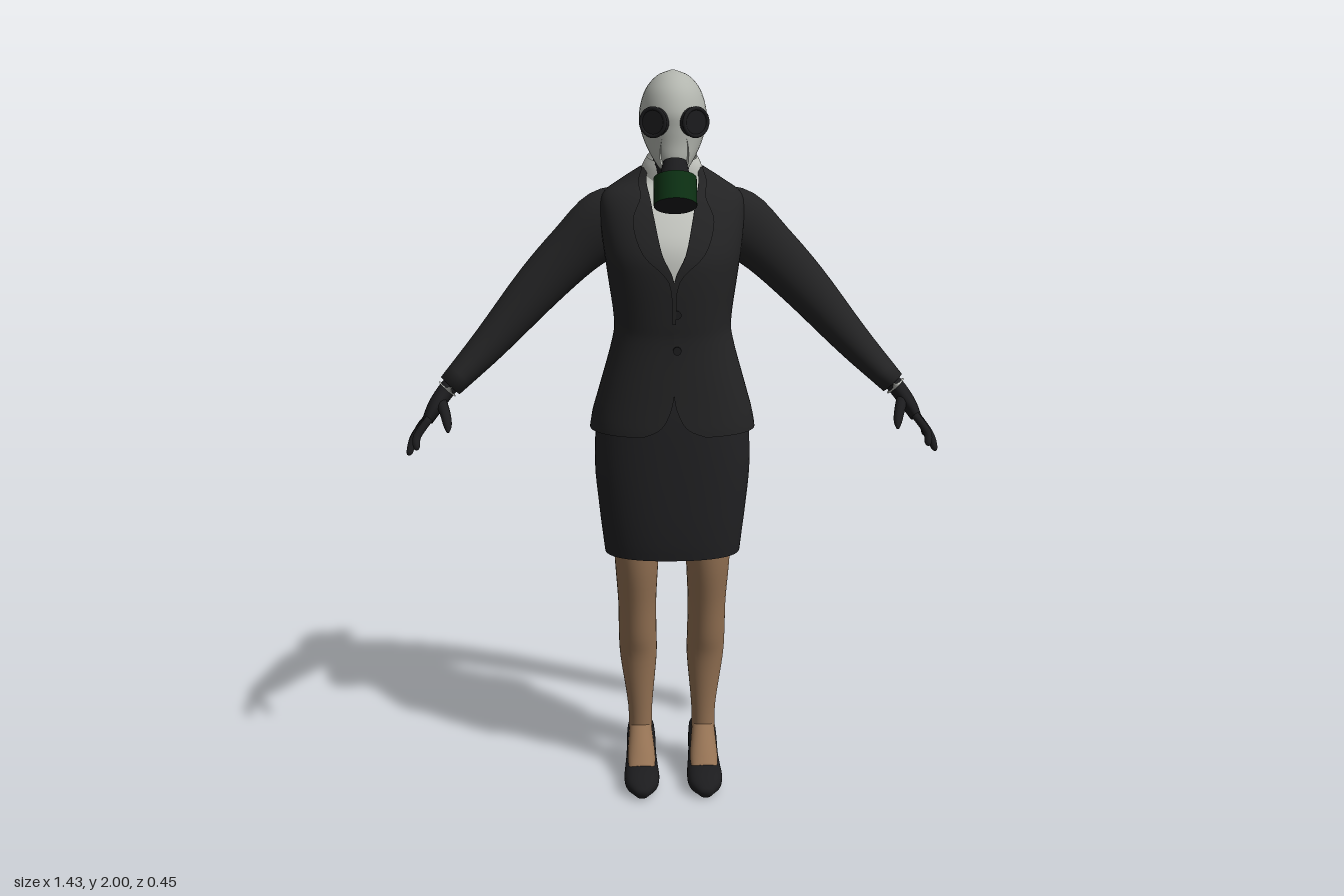
import * as THREE from 'three';

const mat = (name, color, side = THREE.FrontSide) => {
  const m = new THREE.MeshStandardMaterial({ color, side });
  m.name = name;
  return m;
};

// Smooth skin over elliptical sections. Row: [x, y, z, ru, rv, gap, end]
// gap = half-width left open at the start angle; end = where a partial strip stops.
function loft(rows, o = {}) {
  const { n = 28, steps = 4, e = 1, flat = false, ref = [0, 0, 1], start = 0, strip = 0, open = false } = o;
  const curve = (a, b, c) => new THREE.CatmullRomCurve3(
    rows.map(r => new THREE.Vector3(r[a] || 0, r[b] || 0, r[c] || 0)), false, 'catmullrom', 0.5);
  const path = curve(0, 1, 2), radii = curve(3, 4, 5), ends = curve(6, 6, 6);
  const total = (rows.length - 1) * steps;
  const ring = !open && !strip, cols = ring ? n : n + 1;
  const pos = [], idx = [], v = new THREE.Vector3(), u = new THREE.Vector3(), t = new THREE.Vector3();
  const centres = [];
  for (let i = 0; i <= total; i++) {
    const k = i / total, c = path.getPoint(k), r = radii.getPoint(k);
    centres.push(c);
    if (flat) t.set(0, 1, 0);
    else t.subVectors(path.getPoint(Math.min(1, k + 0.02)), path.getPoint(Math.max(0, k - 0.02))).normalize();
    v.set(...ref).addScaledVector(t, -t.dot(v)).normalize();
    u.crossVectors(t, v);
    const ang = x => Math.asin(Math.min(1, Math.pow(Math.max(0, x) / r.x, 1 / e)));
    const g = ang(r.z);
    for (let j = 0; j < cols; j++) {
      const a = strip ? strip * (g + (ang(ends.getPoint(k).x) - g) * j / n)
        : start + g + (2 * Math.PI - 2 * g) * j / n;
      const p = f => Math.sign(f) * Math.pow(Math.abs(f), e);
      const q = c.clone().addScaledVector(u, r.x * p(Math.sin(a))).addScaledVector(v, r.y * p(Math.cos(a)));
      pos.push(q.x, q.y, q.z);
    }
  }
  for (let i = 0; i < total; i++) for (let j = 0; j < n; j++) {
    const a = i * cols + j, b = i * cols + (j + 1) % cols;
    idx.push(a, b, a + cols, b, b + cols, a + cols);
  }
  if (ring) for (const i of [0, total]) { // end caps
    const m = pos.length / 3;
    pos.push(centres[i].x, centres[i].y, centres[i].z);
    for (let j = 0; j < n; j++) {
      const a = i * cols + j, b = i * cols + (j + 1) % cols;
      if (i) idx.push(a, b, m); else idx.push(b, a, m);
    }
  }
  const geo = new THREE.BufferGeometry();
  geo.setAttribute('position', new THREE.Float32BufferAttribute(pos, 3));
  geo.setIndex(idx);
  geo.computeVertexNormals();
  return geo;
}

// Body section: height, half width, front z, back z, opening, strip end
const sec = ([y, rx, zf, zb, gap = 0, end = 0]) => [0, y, (zf + zb) / 2, rx, (zf - zb) / 2, gap, end];

export function createModel() {
  const model = new THREE.Group();
  model.name = 'maskedOfficeWorker';
  const suit = mat('suitCloth', 0x232324, THREE.DoubleSide);
  const skirtCloth = mat('skirtCloth', 0x212123, THREE.DoubleSide);
  const shirtCloth = mat('shirtCloth', 0xc6c8c2, THREE.DoubleSide);
  const rubber = mat('paleRubber', 0xb2b5ae);
  const black = mat('blackLeather', 0x1c1c1e);
  const skin = mat('stockingTan', 0x937153);
  const green = mat('canisterGreen', 0x0c3013);
  const add = (name, geo, m, x = 0, y = 0, z = 0) => {
    const mesh = new THREE.Mesh(geo, m);
    mesh.name = name;
    mesh.position.set(x, y, z);
    model.add(mesh);
    return mesh;
  };

  // Jacket, open in a V at the chest and rounded away at the hem
  const jacket = [
    [1.055, .225, .085, -.22, .085], [1.075, .222, .085, -.215, .04], [1.11, .215, .083, -.205, .015],
    [1.17, .198, .08, -.185], [1.3, .162, .075, -.162], [1.36, .157, .08, -.168], [1.47, .172, .088, -.185],
    [1.54, .182, .082, -.19, .03], [1.62, .19, .045, -.19, .048], [1.68, .185, 0, -.185, .06],
    [1.715, .14, -.045, -.175, .068], [1.75, .085, -.06, -.155, .065]];
  add('jacket', loft(jacket.map(sec), { flat: true, e: .85, open: true, n: 48 }), suit);
  const lapelEnds = [.004, .014, .08, .105, .085, .09, .08];
  const lapel = jacket.slice(5).map(([y, rx, f, b, g], i) => sec([y, rx + .007, f + .007, b - .007, g, lapelEnds[i]]));
  for (const s of [1, -1])
    add('lapel', loft(lapel, { flat: true, e: .85, strip: s, n: 6 }), suit);
  for (const y of [1.385, 1.29]) {
    const b = add('button', new THREE.CylinderGeometry(.011, .011, .008, 14), black, .008, y, .083);
    b.rotation.x = Math.PI / 2;
  }
  const vent = add('backVent', new THREE.BoxGeometry(.012, .14, .008), suit, 0, 1.13, -.2);
  vent.rotation.x = .27;

  // Shirt and collar
  add('shirt', loft([[1.43, .14, .068, -.14], [1.54, .15, .066, -.15], [1.62, .15, .03, -.15], [1.68, .12, -.012, -.15],
    [1.715, .1, -.04, -.15], [1.75, .07, -.045, -.14]].map(sec), { flat: true, e: .85 }), shirtCloth);
  const collar = add('collar', loft([[-.035, .088, .062, -.062, .045], [0, .077, .056, -.058, .022],
    [.022, .066, .05, -.052, .008]].map(sec), { flat: true, open: true }), shirtCloth, 0, 1.758, -.085);
  collar.rotation.x = .3;

  // Skirt with a back slit
  add('skirt', loft([[.695, .188, .038, -.185, .055], [.74, .193, .045, -.188, .034], [.82, .202, .052, -.19],
    [.95, .213, .058, -.193], [1.08, .206, .06, -.197], [1.16, .182, .055, -.168]].map(sec),
  { flat: true, e: .85, open: true, start: Math.PI, n: 48 }), skirtCloth);

  // Neck and masked head
  add('neck', loft([[0, 1.68, -.09, .056, .05], [0, 1.76, -.065, .05, .05], [0, 1.85, -.05, .055, .055]]), black);
  add('maskHood', loft([[1.757, .036, .095, .03], [1.785, .055, .1, -.04], [1.82, .073, .1, -.1], [1.86, .085, .103, -.134],
    [1.9, .086, .104, -.139], [1.95, .071, .082, -.122], [1.985, .041, .038, -.08], [2, .004, -.016, -.024]].map(sec),
  { flat: true, n: 36 }), rubber);
  add('muzzle', loft([[0, 1.88, .075, .016, .025], [0, 1.83, .094, .032, .034], [0, 1.785, .104, .037, .036],
    [0, 1.752, .1, .027, .028]], { flat: true }), rubber);
  for (const s of [1, -1]) {
    const eye = new THREE.Group();
    eye.name = 'eyepiece';
    const lens = new THREE.Mesh(new THREE.CylinderGeometry(.034, .037, .034, 28), black);
    lens.rotation.x = Math.PI / 2;
    const rim = new THREE.Mesh(new THREE.TorusGeometry(.034, .005, 8, 28), black);
    rim.position.z = .016;
    lens.name = 'lens';
    rim.name = 'lensRim';
    eye.add(lens, rim);
    eye.position.set(s * .046, 1.875, .088);
    eye.rotation.y = s * .5;
    model.add(eye);
  }
  // Filter canister hanging forward and down
  const filter = new THREE.Group();
  filter.name = 'filter';
  const can = new THREE.Mesh(new THREE.CylinderGeometry(.054, .054, .072, 32), [green, green, black]);
  const neckPiece = new THREE.Mesh(new THREE.CylinderGeometry(.03, .04, .05, 24), black);
  neckPiece.position.y = .055;
  can.name = 'canister';
  neckPiece.name = 'filterConnector';
  filter.add(can, neckPiece);
  filter.position.set(0, 1.708, .163);
  filter.rotation.x = -.49;
  model.add(filter);
  // Head straps
  for (const y of [1.885, 1.918])
    add('strap', new THREE.BoxGeometry(.15, .01, .01), black, 0, y, -.135);
  for (const x of [-.035, .035])
    add('strapBuckle', new THREE.BoxGeometry(.01, .058, .012), black, x, 1.902, -.132);

  for (const s of [1, -1]) {
    const limb = (name, rows, m, o) => add(name, loft(rows.map(([x, ...r]) => [s * x, ...r]), o), m);
    // Sleeve, shirt cuff, glove
    limb('sleeve', [[.09, 1.645, -.11, .06, .055], [.17, 1.605, -.115, .088, .066], [.26, 1.53, -.117, .076, .062],
      [.36, 1.43, -.11, .066, .058], [.49, 1.285, -.085, .049, .052], [.6, 1.172, -.052, .034, .05]], suit);
    limb('shirtCuff', [[.59, 1.182, -.054, .03, .045], [.608, 1.163, -.05, .03, .044]], shirtCloth, { steps: 1 });
    limb('glovePalm', [[.585, 1.19, -.055, .023, .034], [.615, 1.155, -.04, .023, .036], [.64, 1.12, -.022, .021, .046],
      [.66, 1.085, -.014, .015, .047]], black, { n: 18 });
    const fingers = [[.022, .683, 1.022, .055], [-.003, .705, 1.002, .03], [-.028, .708, 1.002, -.005], [-.05, .694, 1.022, -.05]];
    for (const [z0, x, y, z] of fingers)
      limb('finger', [[.65, 1.1, z0, .011, .012], [(.665 + x) / 2 + .008, (1.09 + y) / 2, (z0 + z) / 2, .011, .012],
        [x, y + .008, z, .009, .009], [x + .001, y, z, .003, .003]], black, { n: 10 });
    limb('thumb', [[.625, 1.145, -.02, .014, .016], [.607, 1.115, .03, .014, .014], [.598, 1.09, .06, .011, .011],
      [.596, 1.075, .075, .004, .004]], black, { n: 10, ref: [1, 0, 0] });

    // Leg and instep
    limb('leg', [[.092, .09, -.125, .034, .034], [.092, .2, -.118, .035, .033], [.096, .35, -.123, .052, .053],
      [.098, .43, -.115, .054, .065], [.099, .53, -.1, .054, .07], [.1, .66, -.077, .061, .076],
      [.1, .8, -.07, .068, .08]], skin, { flat: true });
    limb('instep', [[.092, .15, -.13, .03, .025], [.091, .105, -.085, .036, .03], [.09, .07, -.035, .04, .028],
      [.09, .05, .01, .035, .015]], skin);
    // Court shoe
    limb('shoe', [[.09, .118, -.19, .016, .016], [.09, .115, -.172, .035, .027], [.09, .1, -.13, .041, .032],
      [.09, .062, -.08, .043, .03], [.09, .038, -.03, .048, .031], [.09, .033, .02, .05, .033],
      [.09, .026, .06, .042, .026], [.09, .016, .09, .016, .013]], black, { ref: [0, 1, 0], e: .85 });
    limb('heel', [[.09, 0, -.163, .019, .02], [.09, .05, -.161, .023, .023], [.09, .11, -.153, .035, .034]], black, { flat: true });
  }
  return model;
}
